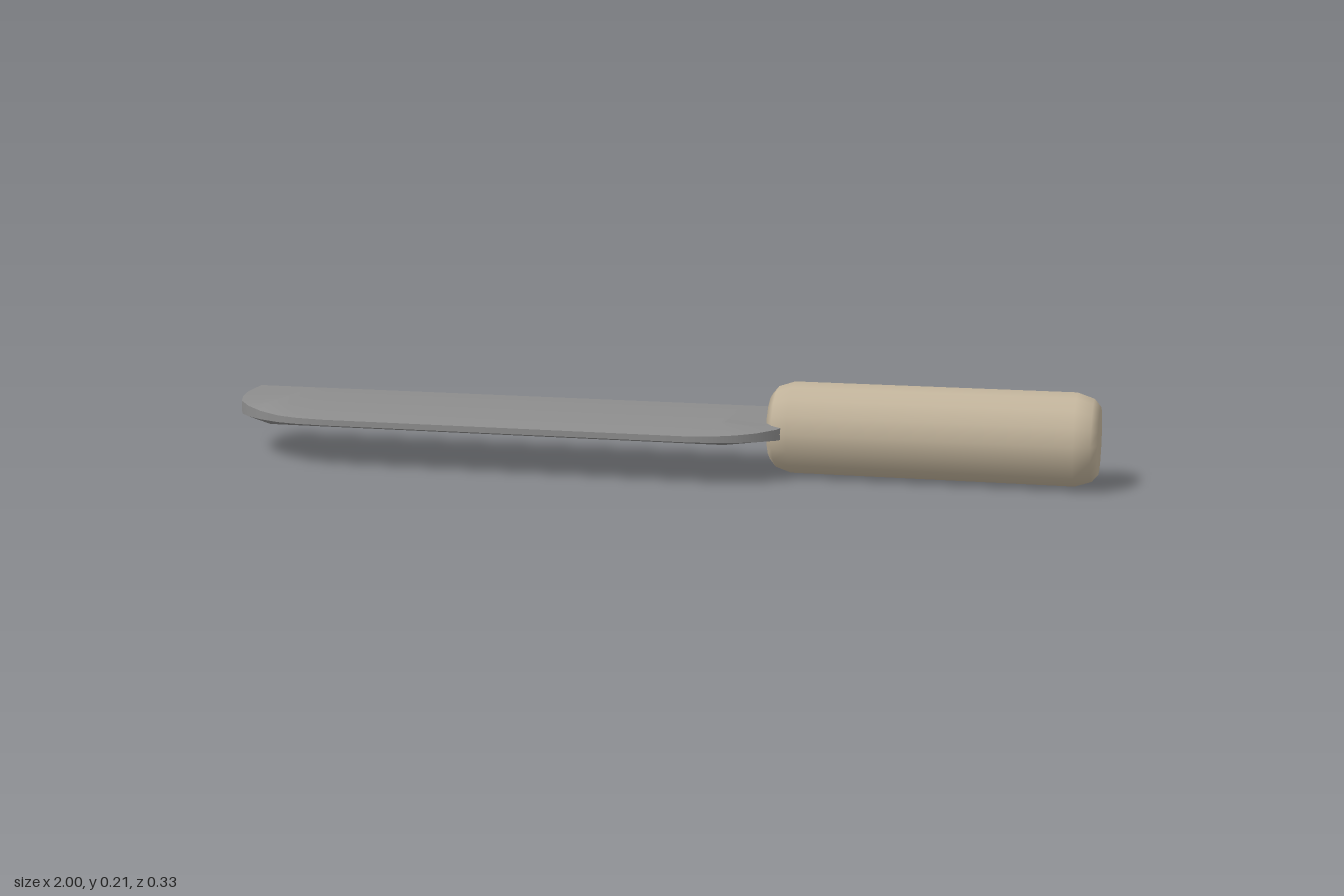
import * as THREE from 'three';
import { toCreasedNormals } from 'three/addons/utils/BufferGeometryUtils.js';

const MID_Y = 0.105;
const SPINE_Z = -0.166;

// Outline of the blade (x, z), from spine tip round the cutting edge to spine heel
const OUTLINE = [
  [-1, SPINE_Z], [-1, -0.09], [-0.99, -0.04], [-0.97, 0.01], [-0.93, 0.06], [-0.88, 0.105],
  [-0.82, 0.142], [-0.77, 0.157], [-0.7, 0.164], [0.13, 0.164], [0.19, 0.156], [0.24, 0.135],
  [0.28, 0.107], [0.315, 0.065], [0.332, 0.02], [0.332, -0.148], [0.295, SPINE_Z],
];

// Blade: one closed section per outline point, edge -> full-thickness inset -> spine
function bladeGeometry() {
  const full = 0.025, thin = 0.0065;
  const rings = OUTLINE.map(([x, z]) => {
    const ix = THREE.MathUtils.clamp(x, -0.87, 0.2);
    const iz = Math.min(z, 0.075);
    const edge = THREE.MathUtils.mapLinear(z, SPINE_Z, 0.164, full, thin);
    const half = [[x, edge, z], [ix, full, iz], [ix, full, SPINE_Z]];
    return [...half, ...half.map(([a, b, c]) => [a, -b, c]).reverse()];
  });
  const n = rings[0].length;
  const index = [];
  for (let i = 0; i < rings.length - 1; i++) {
    for (let k = 0; k < n; k++) {
      const a = i * n + k, b = i * n + (k + 1) % n;
      index.push(a, a + n, b, b, a + n, b + n);
    }
  }
  // End sections lie in the spine plane and close it
  const last = (rings.length - 1) * n;
  for (let k = 1; k < n - 1; k++) {
    index.push(0, k, k + 1, last, last + k + 1, last + k);
  }
  const geometry = new THREE.BufferGeometry();
  geometry.setAttribute('position', new THREE.Float32BufferAttribute(rings.flat(2), 3));
  geometry.setIndex(index);
  return toCreasedNormals(geometry, 0.5);
}

// Handle: rounded 16-sided bar turned about the x axis
function handleGeometry() {
  const r = 0.103, start = 0.285, end = 1;
  const bevel = [[0, 0], [0, 0.074], [0.014, 0.091], [0.05, r]];
  const profile = [
    ...bevel.map(([d, rad]) => new THREE.Vector2(rad, start + d)),
    ...bevel.map(([d, rad]) => new THREE.Vector2(rad, end - d)).reverse(),
  ];
  return new THREE.LatheGeometry(profile, 16).rotateZ(-Math.PI / 2);
}

export function createModel() {
  const group = new THREE.Group();
  group.name = 'knife';

  const blade = new THREE.Mesh(bladeGeometry(), new THREE.MeshStandardMaterial({ color: 0x8c8c8c }));
  blade.name = 'blade';
  blade.position.y = MID_Y;

  const handle = new THREE.Mesh(handleGeometry(), new THREE.MeshStandardMaterial({ color: 0xc0b29a }));
  handle.name = 'handle';
  handle.position.set(0, MID_Y, -0.048);

  group.add(blade, handle);
  return group;
}
